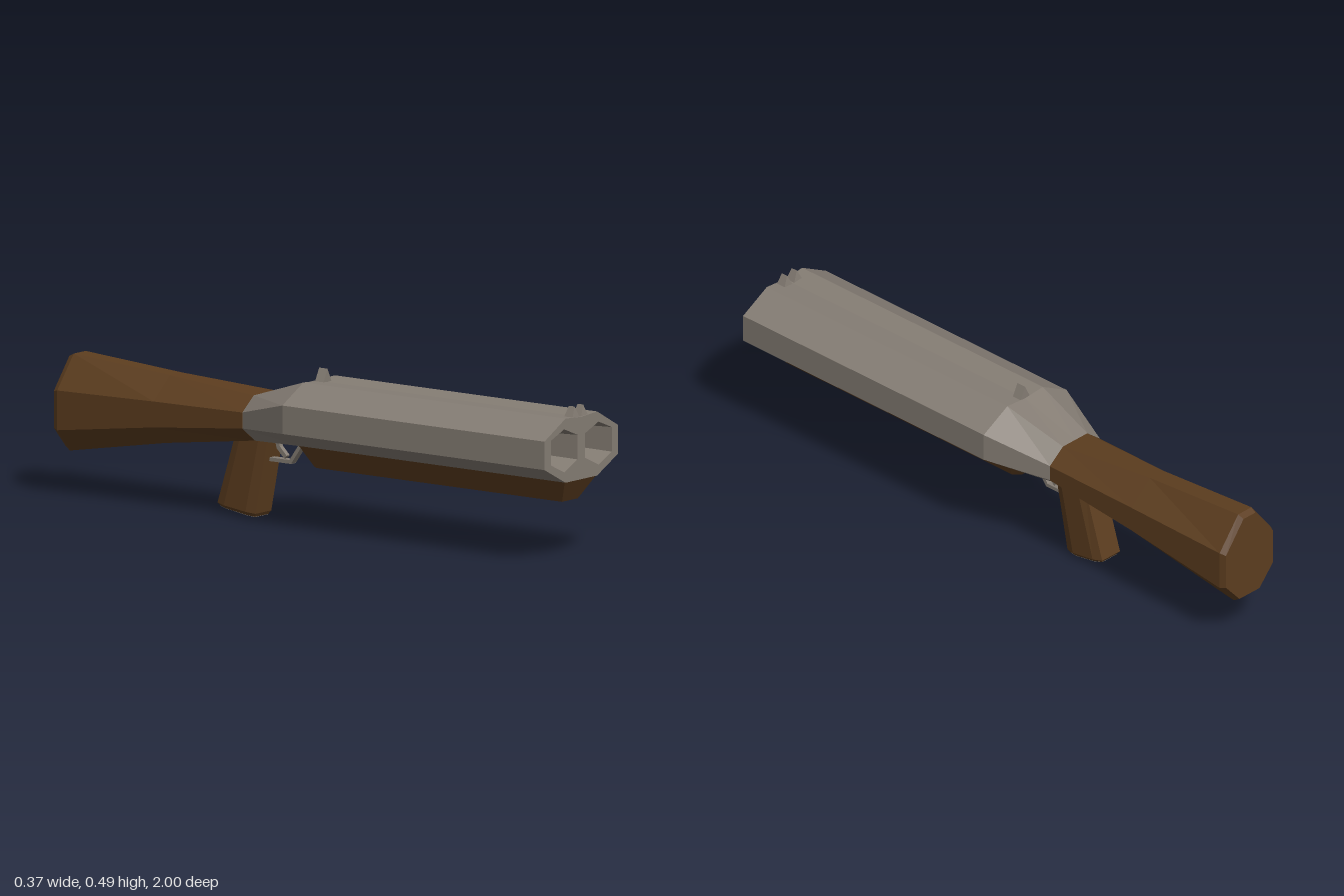
import * as THREE from 'three';

const metal = new THREE.MeshStandardMaterial({ color: 0x857d74 });
metal.name = 'weathered metal';
const wood = new THREE.MeshStandardMaterial({ color: 0x5c3d1f });
wood.name = 'dark wood';

function mesh(name, geometry, material) {
  const m = new THREE.Mesh(geometry, material);
  m.name = name;
  return m;
}

// Faceted skin through rings of [x, y, z] points, with optional end caps
function loft(rings, capStart = true, capEnd = true) {
  const pos = [];
  const n = rings[0].length;
  for (let i = 0; i < rings.length - 1; i++) {
    const a = rings[i], b = rings[i + 1];
    for (let j = 0; j < n; j++) {
      const k = (j + 1) % n;
      pos.push(...a[j], ...b[j], ...a[k], ...a[k], ...b[j], ...b[k]);
    }
  }
  const cap = (ring, flip) => {
    const c = [0, 1, 2].map(d => ring.reduce((s, p) => s + p[d], 0) / n);
    for (let j = 0; j < n; j++) {
      const p = ring[j], q = ring[(j + 1) % n];
      pos.push(...c, ...(flip ? q : p), ...(flip ? p : q));
    }
  };
  if (capStart) cap(rings[0], false);
  if (capEnd) cap(rings[rings.length - 1], true);
  const g = new THREE.BufferGeometry();
  g.setAttribute('position', new THREE.Float32BufferAttribute(pos, 3));
  g.computeVertexNormals();
  return g;
}

// Mirrors a right-hand outline (bottom to top); mid adds a point on the centre line
function outline(half, mid) {
  const other = half.map(([x, y]) => [-x, y]).reverse();
  return [...half, ...(mid === undefined ? [] : [[0, mid]]), ...other];
}
const atZ = (pts, z) => pts.map(([x, y]) => [x, y, z]);

// Straight bar in the centre plane between two [y, z] points
function bar(name, [y0, z0], [y1, z1], width, thick) {
  const dy = y1 - y0, dz = z1 - z0;
  const m = mesh(name, new THREE.BoxGeometry(width, thick, Math.hypot(dy, dz) + thick * 0.6), metal);
  m.position.set(0, (y0 + y1) / 2, (z0 + z1) / 2);
  m.rotation.x = -Math.atan2(dy, dz);
  return m;
}

// Triangular sight blade
function blade(name, x, half, base, top, z0, z1, slant) {
  const tri = z => [[x - half, base, z], [x + half, base, z], [x, top, z]];
  const front = tri(z1), back = tri(z0);
  front[2][2] -= slant;
  back[2][2] += slant;
  return mesh(name, loft([front, back]), metal);
}

export function createModel() {
  const group = new THREE.Group();
  group.name = 'doubleBarrelGun';

  // Barrel block tapering into the receiver
  const body = outline([[0.08, 0.255], [0.187, 0.31], [0.187, 0.4], [0.08, 0.458]], 0.452);
  const neck = outline([[0.05, 0.246], [0.113, 0.293], [0.113, 0.344], [0.055, 0.39]], 0.39);
  group.add(mesh('barrelBlock', loft([atZ(body, 1), atZ(body, -0.035), atZ(neck, -0.25)], false, true), metal));

  // Muzzle face with two hexagonal bores
  const muzzle = new THREE.Shape(body.map(p => new THREE.Vector2(...p)));
  for (const side of [-1, 1]) {
    const hex = (w, h) => [[0, h], [w, h * 0.6], [w, -h * 0.54], [0, -h], [-w, -h * 0.54], [-w, h * 0.6]]
      .map(([x, y]) => [side * 0.087 + x, 0.357 + y]);
    const rim = hex(0.068, 0.068);
    muzzle.holes.push(new THREE.Path(rim.map(p => new THREE.Vector2(...p))));
    group.add(mesh(side > 0 ? 'leftBore' : 'rightBore',
      loft([atZ(rim, 1), atZ(hex(0.055, 0.061), 0.85)], false, true), metal));
  }
  const face = mesh('muzzleFace', new THREE.ShapeGeometry(muzzle), metal);
  face.position.z = 1;
  group.add(face);

  // Fore-end under the barrels
  const foreTop = [[0.08, -0.04], [0.035, -0.1], [-0.035, -0.1], [-0.08, -0.04], [-0.08, 0.997], [0.08, 0.997]];
  const foreLow = [[0.04, -0.015], [0.02, -0.04], [-0.02, -0.04], [-0.04, -0.015], [-0.04, 0.955], [0.04, 0.955]];
  group.add(mesh('foreEnd', loft([
    foreTop.map(([x, z]) => [x, 0.257, z]),
    foreLow.map(([x, z]) => [x, 0.184, z]),
  ]), wood));

  // Shoulder stock, flaring to a chamfered butt
  const stock = [
    [-0.25, 0.05, 0.246, 0.293, 0.344, 0.055, 0.39],
    [-0.6, 0.05, 0.2, 0.258, 0.34, 0.03, 0.412],
    [-0.98, 0.05, 0.134, 0.207, 0.333, 0.03, 0.438],
    [-1, 0.045, 0.145, 0.212, 0.328, 0.027, 0.428],
  ].map(([z, xb, yb, y1, y2, xt, yt], i) => {
    const w = i === 3 ? 0.106 : 0.114;
    return atZ(outline([[xb, yb], [w, y1], [w, y2], [xt, yt]]), z);
  });
  group.add(mesh('stock', loft(stock), wood));

  // Raked pistol grip with a metal end plate
  const gripRing = (w, yf, zf, yb, zb) => {
    const c = 0.03 / 0.14;
    return [[1, 1 - c], [0.8, 1], [-0.8, 1], [-1, 1 - c], [-1, c], [-0.8, 0], [0.8, 0], [1, c]]
      .map(([x, t]) => [x * w, yf + (yb - yf) * t, zf + (zb - zf) * t]);
  };
  const gripEnd = gripRing(0.042, 0.001, -0.262, 0.022, -0.398);
  group.add(mesh('grip', loft([
    gripRing(0.05, 0.27, -0.205, 0.27, -0.33),
    gripRing(0.05, 0.012, -0.255, 0.032, -0.405),
    gripEnd,
  ], true, false), wood));
  group.add(mesh('gripEndPlate', loft([gripEnd, gripEnd.map(([x, y, z]) => [x, y - 0.001, z])], false), metal));

  // Trigger guard and trigger
  const guard = [[0.255, -0.09], [0.185, -0.14], [0.185, -0.23]];
  for (let i = 0; i < 2; i++) group.add(bar('triggerGuard', guard[i], guard[i + 1], 0.025, 0.012));
  const trigger = [[0.26, -0.2], [0.225, -0.19], [0.2, -0.165]];
  for (let i = 0; i < 2; i++) group.add(bar('trigger', trigger[i], trigger[i + 1], 0.016, 0.014));

  // Sights: a notched pair at the muzzle, a single blade at the receiver
  for (const s of [-1, 1]) group.add(blade('frontSight', s * 0.022, 0.018, 0.452, 0.487, 0.962, 0.996, 0.006));
  group.add(blade('rearSight', 0, 0.022, 0.45, 0.494, -0.035, -0.002, 0));

  return group;
}
